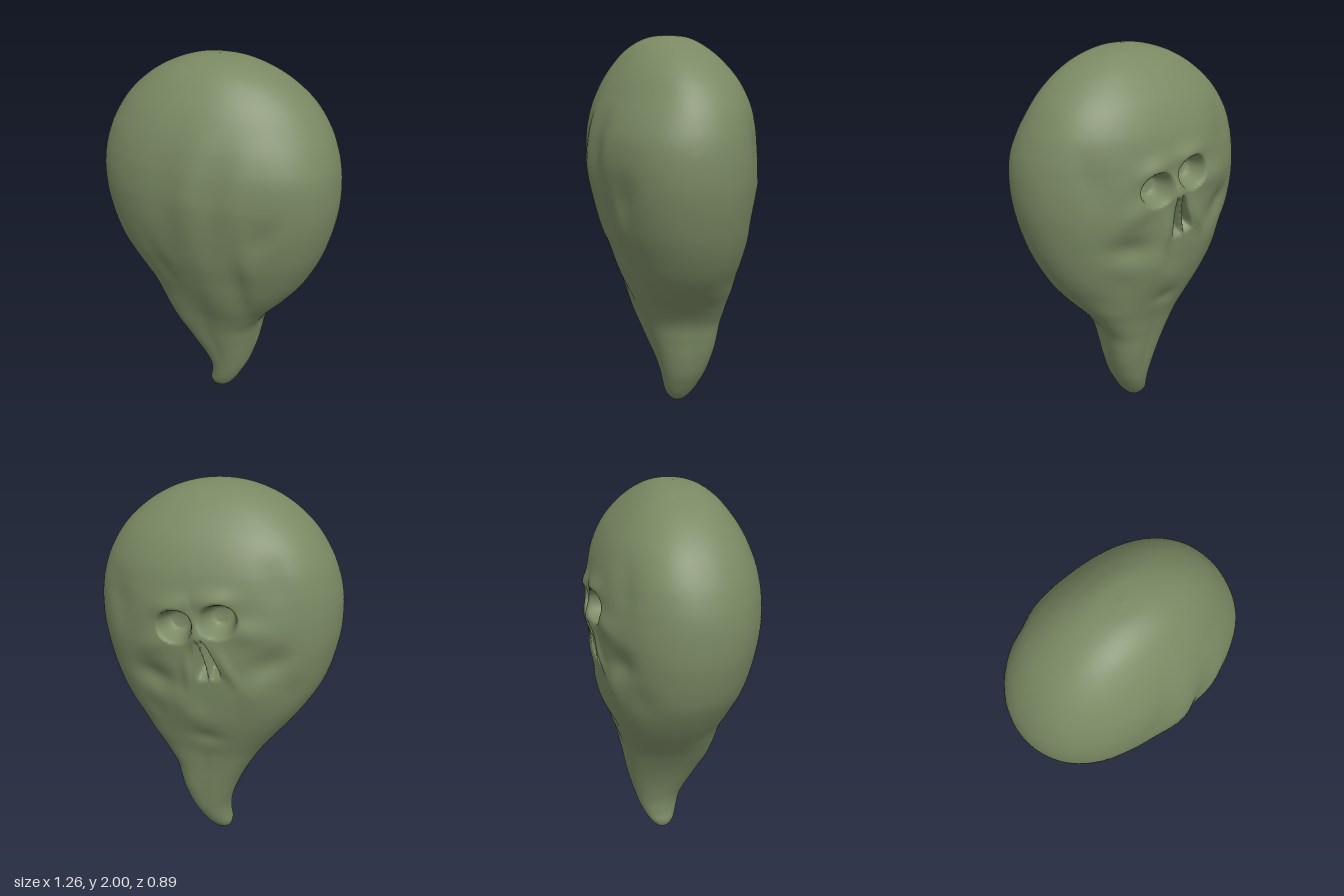
import * as THREE from 'three';

// Cross-sections from crown to tail tip: y, x min, x max, z back, z front
const SECTIONS = [
  [2.0, 0, 0, 0.02, 0.02],
  [1.985, -0.137, 0.137, -0.085, 0.118],
  [1.94, -0.268, 0.268, -0.165, 0.2],
  [1.87, -0.383, 0.383, -0.243, 0.268],
  [1.77, -0.487, 0.487, -0.322, 0.335],
  [1.65, -0.563, 0.563, -0.378, 0.388],
  [1.54, -0.606, 0.606, -0.403, 0.415],
  [1.45, -0.625, 0.625, -0.412, 0.424],
  [1.36, -0.63, 0.63, -0.417, 0.425],
  [1.27, -0.626, 0.626, -0.415, 0.415],
  [1.18, -0.61, 0.611, -0.408, 0.4],
  [1.09, -0.587, 0.588, -0.398, 0.38],
  [1.0, -0.552, 0.558, -0.387, 0.355],
  [0.9, -0.494, 0.512, -0.37, 0.318],
  [0.8, -0.425, 0.452, -0.345, 0.28],
  [0.7, -0.347, 0.37, -0.31, 0.238],
  [0.6, -0.27, 0.275, -0.272, 0.195],
  [0.5, -0.205, 0.205, -0.247, 0.157],
  [0.4, -0.15, 0.18, -0.23, 0.12],
  [0.3, -0.107, 0.163, -0.213, 0.085],
  [0.2, -0.077, 0.135, -0.19, 0.057],
  [0.12, -0.074, 0.094, -0.16, 0.038],
  [0.06, -0.083, 0.055, -0.126, 0.016],
  [0.02, -0.068, 0.015, -0.09, -0.015],
  [0, -0.03, -0.03, -0.05, -0.05],
];

const smooth = THREE.MathUtils.smoothstep;

// Soft elliptical mound (positive h) or hollow (negative h), tilted by an angle
function blob(x, y, [cx, cy, rx, ry, h, tilt = 0]) {
  const c = Math.cos(tilt), s = Math.sin(tilt);
  const u = ((x - cx) * c + (y - cy) * s) / rx;
  const v = ((y - cy) * c - (x - cx) * s) / ry;
  return h * Math.exp(-u * u - v * v);
}

// Broad folds on the plain front side
const FRONT_FOLDS = [
  [0.02, 1.36, 0.08, 0.26, 0.024, -0.15],
  [0.14, 1.35, 0.06, 0.22, -0.01, -0.2],
  [0.24, 1.38, 0.07, 0.2, 0.01, -0.3],
  [-0.14, 1.45, 0.07, 0.2, -0.008, -0.35],
  [0.36, 1.2, 0.06, 0.13, -0.016, -0.5],
  [0.27, 1.08, 0.05, 0.13, 0.012, -0.2],
  [0.22, 0.85, 0.05, 0.25, -0.016, -0.05],
  [0.07, 0.8, 0.08, 0.25, 0.016, 0],
  [-0.2, 0.95, 0.06, 0.16, -0.01, 0.4],
];

// Mirrored bony forms around the face on the back side
const FACE_FORMS = [
  [0.11, 1.5, 0.1, 0.05, 0.022, -0.1],
  [0.24, 1.32, 0.1, 0.06, 0.016, -0.35],
  [0.29, 1.13, 0.11, 0.07, -0.032, 0.4],
  [0.18, 1.0, 0.07, 0.13, 0.012, -0.25],
  [0.4, 1.52, 0.07, 0.14, -0.014, 0.1],
  [0.36, 0.94, 0.07, 0.1, -0.012, -0.4],
  [0.1, 1.15, 0.03, 0.1, 0.014, 0.25],
];
const FACE_TILT = 0.22, FACE_Y = 1.38;

function frontRelief(x, y) {
  return FRONT_FOLDS.reduce((sum, f) => sum + blob(x, y, f), 0);
}

function faceRelief(x, y) {
  // Mouth hollow and chin
  let out = blob(x, y, [-0.02, 0.74, 0.08, 0.05, -0.014]);
  out += blob(x, y, [0, 0.87, 0.1, 0.06, 0.006]);
  // The rest of the face leans to one side
  const c = Math.cos(FACE_TILT), s = Math.sin(FACE_TILT);
  const u = x * c - (y - FACE_Y) * s, v = FACE_Y + x * s + (y - FACE_Y) * c;
  const au = Math.abs(u);
  out += FACE_FORMS.reduce((sum, f) => sum + blob(au, v, f), 0);
  out += blob(u, v, [0, 1.33, 0.05, 0.07, 0.026]);
  // Eye sockets: steep rims and rounded floors
  const r = Math.hypot((au - 0.111) / 0.1, (v - 1.4) / 0.092);
  out -= 0.1 * (1 - smooth(r, 0.5, 1.0)) + 0.01 * (1 - smooth(r, 0, 1));
  // Twin nose slits that widen downwards, parted by a thin septum
  const t = (1.33 - v) / 0.24;
  if (t > 0 && t < 1) {
    const edge = 0.016 + 0.052 * t;
    const slit = smooth(au, 0.002, 0.015) * (1 - smooth(au, edge - 0.012, edge + 0.006));
    out -= 0.07 * slit * smooth(t, 0, 0.15) * (1 - smooth(t, 0.75 - au * 2, 1));
  }
  return out;
}

// Closed smooth skin lofted through the sections
function bodyGeometry(rows = 210, cols = 260) {
  const curve = (a, b) => new THREE.CatmullRomCurve3(
    SECTIONS.map((s) => new THREE.Vector3(s[0], s[a], s[b])), false, 'catmullrom', 0.5);
  const widthCurve = curve(1, 2), depthCurve = curve(3, 4);
  const positions = [], index = [];
  const power = (v, p) => Math.sign(v) * Math.abs(v) ** p;

  for (let i = 0; i <= rows; i++) {
    const w = widthCurve.getPoint(i / rows), d = depthCurve.getPoint(i / rows);
    const y = w.x;
    const cx = (w.y + w.z) / 2, rx = (w.z - w.y) / 2;
    const cz = (d.y + d.z) / 2, rz = (d.z - d.y) / 2;
    const level = smooth(y, 0.45, 0.75) * (1 - smooth(y, 1.65, 1.85));
    // The neck bulges along one diagonal; the crown is squarer, flatter at one corner
    const neck = smooth(y, 0.1, 0.4) * (1 - smooth(y, 0.5, 0.8));
    const crown = smooth(y, 1.45, 1.75);
    for (let j = 0; j < cols; j++) {
      // Columns gather towards the face
      const t = (j / cols) * Math.PI * 2;
      const angle = t - 0.5 * Math.cos(t);
      const s = Math.sin(angle), c = Math.cos(angle);
      const diagonal = 2 * s * c;
      const p = 0.93 - 0.04 * smooth(s, 0, 0.6) * (1 - crown) - 0.05 * crown;
      const corner = c > 0 ? Math.max(0, diagonal) ** 1.5 : 0;
      const swell = 1 + 0.2 * neck * Math.max(0, -diagonal) ** 1.5 - 0.06 * crown * corner;
      const x = cx + rx * power(c, p) * swell;
      let z = cz + rz * power(s, p) * swell;
      const facing = smooth(Math.abs(s), 0.15, 0.65) * level;
      z += s > 0 ? frontRelief(x, y) * facing : -faceRelief(x, y) * facing;
      positions.push(x, y, z);
    }
  }
  for (let i = 0; i < rows; i++) {
    for (let j = 0; j < cols; j++) {
      const k = (j + 1) % cols;
      const a = i * cols + j, b = i * cols + k, c = a + cols, e = b + cols;
      if (i > 0) index.push(a, b, c);
      if (i < rows - 1) index.push(b, e, c);
    }
  }
  const geometry = new THREE.BufferGeometry();
  geometry.setAttribute('position', new THREE.Float32BufferAttribute(positions, 3));
  geometry.setIndex(index);
  geometry.computeVertexNormals();
  // All vertices at a pole share one normal direction
  const normal = geometry.attributes.normal;
  for (let j = 0; j < cols; j++) {
    normal.setXYZ(j, 0, 1, 0);
    normal.setXYZ(rows * cols + j, 0, -1, 0);
  }
  return geometry;
}

export function createModel() {
  const model = new THREE.Group();
  model.name = 'skullFacedDrop';
  const mossGreen = new THREE.MeshStandardMaterial({ color: 0x7a8963 });
  mossGreen.name = 'mossGreen';
  const body = new THREE.Mesh(bodyGeometry(), mossGreen);
  body.name = 'body';
  model.add(body);
  return model;
}
